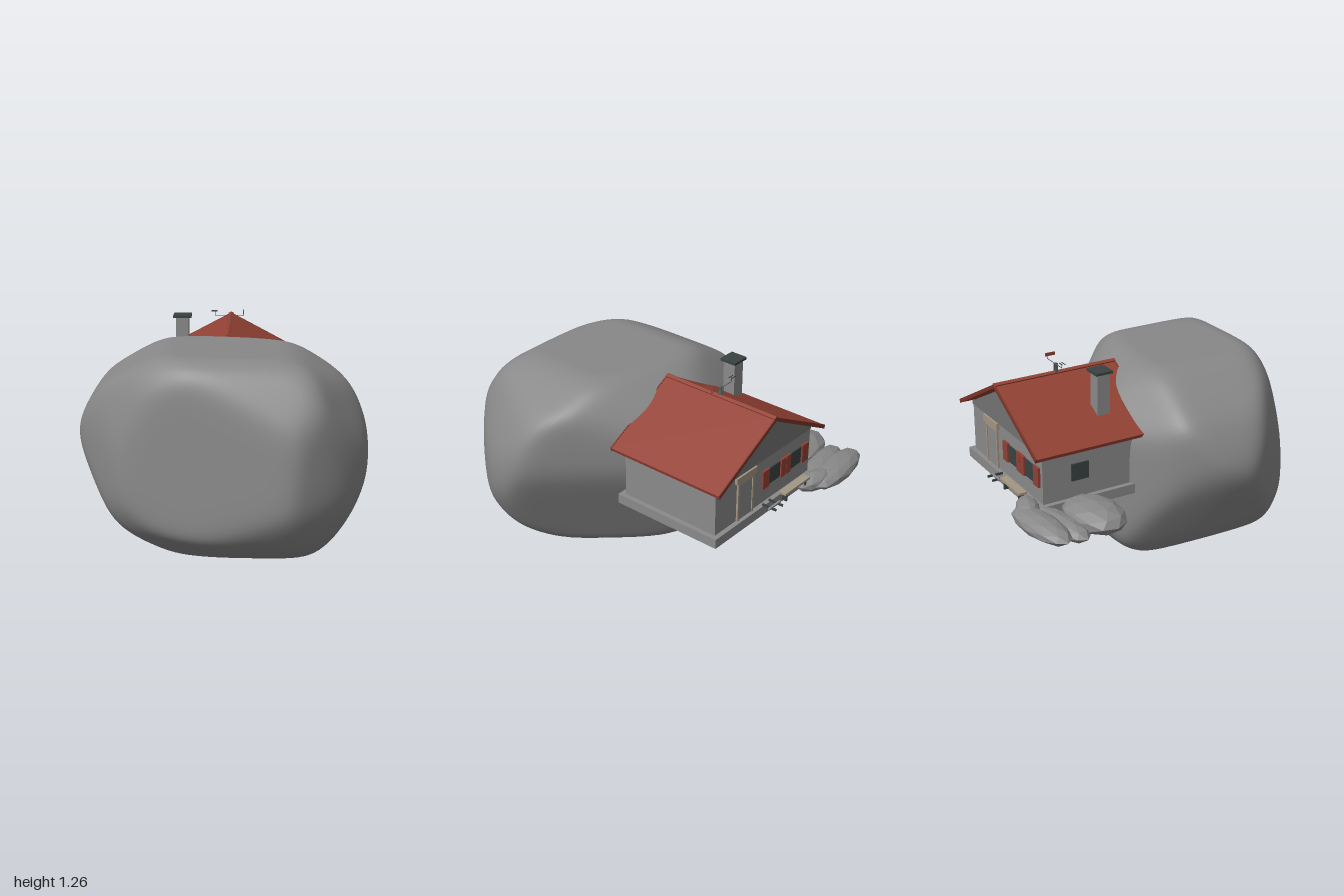
import * as THREE from 'three';
import { mergeVertices } from 'three/addons/utils/BufferGeometryUtils.js';

const mat = (name, color, extra = {}) => {
  const m = new THREE.MeshStandardMaterial({ color, ...extra });
  m.name = name;
  return m;
};

export function createModel() {
  const M = {
    stone: mat('stone', 0x888888),
    rock: mat('ledgeRock', 0x888888, { flatShading: true }),
    wall: mat('wallGrey', 0x8a8a8a),
    gable: mat('gableGrey', 0x747474),
    roof: mat('roofRed', 0x934134),
    trim: mat('trimRed', 0x7c3429),
    dark: mat('darkSlate', 0x3a4242),
    tan: mat('paleWood', 0xa39682),
    metal: mat('metalGrey', 0x5a5e5e),
  };
  const root = new THREE.Group();
  root.name = 'houseOnBoulder';
  const group = (name, parent = root) => {
    const g = new THREE.Group();
    g.name = name;
    parent.add(g);
    return g;
  };
  const add = (parent, name, geo, m) => {
    const mesh = new THREE.Mesh(geo, m);
    mesh.name = name;
    parent.add(mesh);
    return mesh;
  };
  // box given by its min and max corners
  const box = (parent, name, m, x0, x1, y0, y1, z0, z1) => {
    const mesh = add(parent, name, new THREE.BoxGeometry(x1 - x0, y1 - y0, z1 - z0), m);
    mesh.position.set((x0 + x1) / 2, (y0 + y1) / 2, (z0 + z1) / 2);
    return mesh;
  };
  // outline in x and y, extruded from z0 to z1
  const slab = (parent, name, m, pts, z0, z1) => {
    const shape = new THREE.Shape(pts.map(([x, y]) => new THREE.Vector2(x, y)));
    const geo = new THREE.ExtrudeGeometry(shape, { depth: z1 - z0, bevelEnabled: false });
    geo.translate(0, 0, z0);
    return add(parent, name, geo, m);
  };

  // Boulder: a rounded solid bounded by softly blended planes [nx, ny, nz, distance]
  const planes = [
    // flat sides, the last one a large undercut facet
    [0, 1, 0, 0.605], [0, -1, 0, 0.605], [1, 0, 0, 0.86], [-1, 0, 0, 0.86],
    [-0.25, 0.06, 0.966, 0.545], [0.73, 0, -0.68, 0.61], [0.667, -0.411, -0.621, 0.53],
    // upright bevels
    [0.82, 0, 0.57, 0.86], [0.5, 0, 0.866, 0.795], [-0.806, 0, 0.588, 0.705],
    [-0.806, 0, -0.588, 0.8], [-0.5, 0, -0.866, 0.72],
    // bevels over and under the left and right
    [0.5, 0.866, 0, 0.735], [0.866, 0.5, 0, 0.86], [0.866, -0.5, 0, 0.81], [0.5, -0.866, 0, 0.75],
    [-0.5, 0.866, 0, 0.7], [-0.866, 0.5, 0, 0.81], [-0.866, -0.5, 0, 0.735], [-0.5, -0.866, 0, 0.665],
    // bevels over and under the front and back
    [0, 0.5, 0.866, 0.69], [0, 0.866, 0.5, 0.725], [0, -0.5, 0.866, 0.7], [0, -0.866, 0.5, 0.67],
    [0, 0.866, -0.5, 0.705], [0, -0.866, -0.5, 0.72], [0, -0.5, -0.866, 0.765],
    // corners
    [-0.397, 0.643, 0.653, 0.73], [-0.674, 0.311, 0.667, 0.695], [-0.576, -0.455, 0.677, 0.72],
    [-0.28, -0.787, 0.584, 0.69], [0.82, 0.455, 0.342, 0.84], [0.576, -0.455, 0.677, 0.835],
    [0.191, 0.787, -0.584, 0.695], [0.5, 0.5, -0.707, 0.69], [-0.82, -0.455, -0.342, 0.715],
    [-0.3, 0.6, -0.74, 0.725],
  ];
  const POWER = 28;
  let geo = new THREE.IcosahedronGeometry(1, 32);
  geo.deleteAttribute('normal');
  geo.deleteAttribute('uv');
  geo = mergeVertices(geo, 1e-4);
  const pos = geo.attributes.position;
  for (let i = 0; i < pos.count; i++) {
    const x = pos.getX(i), y = pos.getY(i), z = pos.getZ(i);
    let sum = 0;
    for (const [a, b, c, h] of planes) sum += Math.max(0, (a * x + b * y + c * z) / h) ** POWER;
    const r = sum ** (-1 / POWER);
    pos.setXYZ(i, x * r, THREE.MathUtils.clamp(0.6 + y * r, 0, 1.2), 0.35 + z * r);
  }
  geo.computeVertexNormals();
  add(root, 'boulder', geo, M.stone);

  // Ledge rocks: flattened angular stones [x, y, z, rx, ry, rz, turn]
  const ledge = group('ledgeRocks');
  [
    [-0.59, 0.565, -0.9, 0.26, 0.06, 0.1, 0.12],
    [-0.59, 0.545, -0.79, 0.25, 0.06, 0.09, 0.2],
    [-0.63, 0.57, -0.59, 0.22, 0.085, 0.16, 0.15],
    [-0.3, 0.52, -0.62, 0.27, 0.04, 0.15, 0.2],
    [-0.39, 0.57, -0.88, 0.14, 0.06, 0.07, -0.3],
  ].forEach(([x, y, z, rx, ry, rz, turn]) => {
    const stone = add(ledge, 'ledgeRock', new THREE.IcosahedronGeometry(1, 1), M.rock);
    stone.scale.set(rx, ry, rz);
    stone.rotation.y = turn;
    stone.position.set(x, y, z);
  });

  // House, centred on its ridge
  const house = group('house');
  house.position.x = 0.027;
  box(house, 'floorSlab', M.wall, -0.48, 0.48, 0.53, 0.59, -0.83, -0.105);
  slab(house, 'walls', M.wall,
    [[-0.45, 0.59], [0.45, 0.59], [0.45, 0.905], [0, 1.14], [-0.45, 0.905]], -0.8, -0.14);
  for (const z of [-0.806, -0.14]) {
    slab(house, 'gablePanel', M.gable, [[-0.45, 0.885], [0.45, 0.885], [0.45, 0.905], [0, 1.14], [-0.45, 0.905]], z, z + 0.006);
  }

  // Roof with dark verges and ridge cap
  const chevron = (w, eave, ridge, t) => [
    [-w, eave], [-w + 0.005, eave - t], [0, ridge - t], [w - 0.005, eave - t], [w, eave], [0, ridge]];
  slab(house, 'roof', M.roof, chevron(0.505, 0.905, 1.175, 0.02), -0.858, -0.082);
  for (const z of [-0.866, -0.082]) {
    slab(house, 'roofVerge', M.trim, chevron(0.506, 0.907, 1.177, 0.024), z, z + 0.008);
  }
  slab(house, 'ridgeCap', M.roof, chevron(0.018, 1.174, 1.184, 0.014), -0.866, -0.075);

  // Chimney
  const chimney = group('chimney');
  box(chimney, 'chimneyStack', M.wall, -0.305, -0.225, 0.95, 1.245, -0.378, -0.297);
  box(chimney, 'chimneyCap', M.dark, -0.32, -0.208, 1.245, 1.26, -0.392, -0.283);

  // Door with frame and board above
  const door = group('door');
  box(door, 'doorLeaf', M.wall, 0.15, 0.275, 0.59, 0.83, -0.806, -0.8);
  for (const x of [0.137, 0.272]) box(door, 'doorPost', M.tan, x, x + 0.014, 0.59, 0.84, -0.812, -0.8);
  box(door, 'doorLintel', M.tan, 0.137, 0.286, 0.826, 0.84, -0.812, -0.8);
  box(door, 'doorBoard', M.tan, 0.12, 0.305, 0.845, 0.885, -0.818, -0.8);

  // Windows and shutters on the back wall, one window on the side
  const windows = group('windows');
  for (const x of [-0.12, -0.33]) box(windows, 'window', M.dark, x, x + 0.108, 0.695, 0.8, -0.808, -0.8);
  for (const [a, b] of [[-0.008, 0.053], [-0.17, -0.124], [-0.218, -0.173], [-0.397, -0.335]]) {
    box(windows, 'shutter', M.roof, a, b, 0.688, 0.808, -0.815, -0.8);
  }
  box(windows, 'sideWindow', M.dark, -0.432, -0.423, 0.695, 0.8, -0.62, -0.51);

  // Bench and boot rack behind the house
  const bench = group('bench');
  box(bench, 'benchSeat', M.tan, -0.31, -0.065, 0.622, 0.636, -0.895, -0.845);
  for (const x of [-0.29, -0.1]) box(bench, 'benchLeg', M.dark, x, x + 0.012, 0.57, 0.622, -0.885, -0.855);
  const rack = group('bootRack');
  for (const x of [-0.012, 0.052]) box(rack, 'rackRail', M.dark, x, x + 0.01, 0.59, 0.602, -0.917, -0.82);
  box(rack, 'rackBar', M.wall, -0.03, 0.08, 0.594, 0.604, -0.888, -0.874);

  // Rooftop aerial
  const aerial = group('aerial');
  for (const x of [0.012, 0.028]) box(aerial, 'aerialPost', M.metal, x, x + 0.005, 1.16, 1.23, -0.478, -0.46);
  box(aerial, 'aerialBoom', M.metal, -0.065, 0.115, 1.228, 1.231, -0.477, -0.474);
  box(aerial, 'aerialPlateStem', M.dark, 0.114, 0.117, 1.228, 1.262, -0.477, -0.474);
  box(aerial, 'aerialPlate', M.roof, 0.113, 0.118, 1.244, 1.264, -0.488, -0.425);
  box(aerial, 'aerialArm', M.metal, -0.067, -0.064, 1.228, 1.256, -0.477, -0.474);
  for (const z of [-0.486, -0.468]) box(aerial, 'aerialTip', M.dark, -0.09, -0.05, 1.255, 1.259, z, z + 0.003);

  return root;
}
